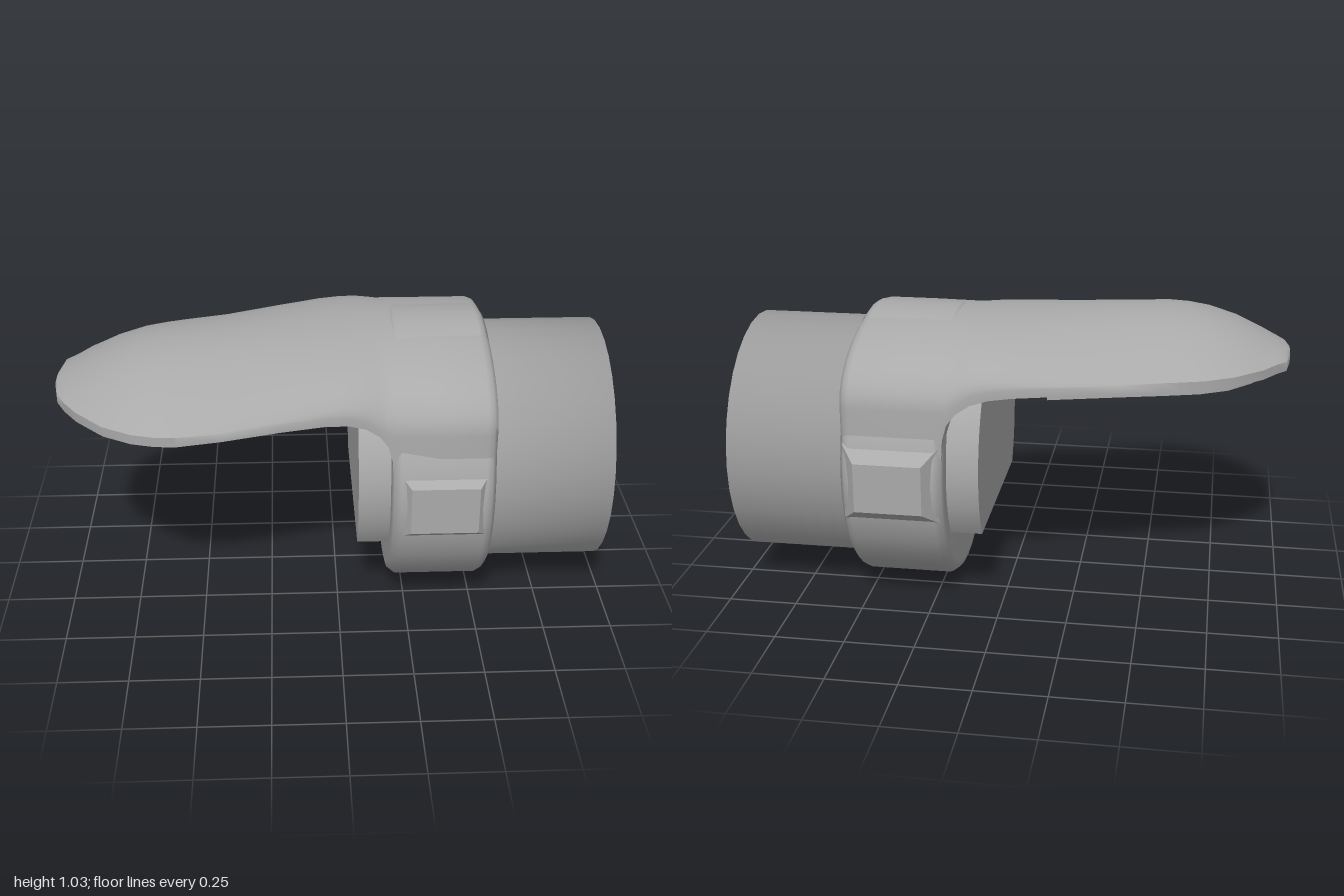
import * as THREE from 'three';
import { toCreasedNormals } from 'three/addons/utils/BufferGeometryUtils.js';

const CY = 0.515, CZ = -0.035; // axis of the round parts, running along x

// Lever stations: x, zMin, zMax, top, bottom
const STATIONS = [
  [-1, 0.06, 0.16, 0.875, 0.835],
  [-0.985, -0.04, 0.24, 0.885, 0.835],
  [-0.95, -0.08, 0.31, 0.9, 0.835],
  [-0.9, -0.155, 0.385, 0.925, 0.835],
  [-0.8, -0.25, 0.49, 0.97, 0.835],
  [-0.7, -0.308, 0.548, 1.0, 0.835],
  [-0.62, -0.333, 0.57, 1.013, 0.835],
  [-0.55, -0.352, 0.575, 1.018, 0.835],
  [-0.4, -0.39, 0.545, 1.02, 0.835],
  [-0.2, -0.447, 0.488, 1.02, 0.835],
  [-0.05, -0.483, 0.45, 1.02, 0.833],
  [0.03, -0.497, 0.435, 1.02, 0.825],
  [0.09, -0.506, 0.427, 1.02, 0.808],
  [0.14, -0.513, 0.425, 1.02, 0.775],
  [0.17, -0.517, 0.427, 1.02, 0.735],
  [0.185, -0.519, 0.43, 1.02, 0.68],
  [0.195, -0.521, 0.435, 1.02, 0.5],
  [0.35, -0.521, 0.446, 1.02, 0.5],
  [0.515, -0.521, 0.446, 1.02, 0.5],
  [0.535, -0.512, 0.437, 1.012, 0.5],
  [0.55, -0.492, 0.417, 0.99, 0.5],
];

// Arched cross-section with straight sides and a flat underside
function leverSection([x, z0, z1, top, bottom], n) {
  const t = THREE.MathUtils.smoothstep(x, -0.55, 0.2);
  const rim = Math.min(Math.max(0.87 - 0.09 * t, bottom + 0.03), top - 0.004);
  const power = 1 - 0.5 * t;
  const points = [];
  for (let i = 0; i <= n; i++) {
    const u = Math.cos((Math.PI * i) / n);
    const rise = Math.pow(Math.max(0, 1 - u * u), power);
    points.push([x, rim + (top - rim) * rise, (z0 + z1) / 2 + ((z1 - z0) / 2) * u]);
  }
  points.push([x, bottom, z0], [x, bottom, z1]);
  return points;
}

// Skin over closed cross-sections, with both ends filled
function loft(sections) {
  const m = sections[0].length, last = (sections.length - 1) * m;
  const index = [];
  for (let k = 0; k < sections.length - 1; k++) {
    for (let i = 0; i < m; i++) {
      const a = k * m + i, b = k * m + ((i + 1) % m);
      index.push(a, a + m, b, b, a + m, b + m);
    }
  }
  for (let i = 1; i < m - 1; i++) {
    index.push(0, i, i + 1, last, last + i + 1, last + i);
  }
  const g = new THREE.BufferGeometry();
  g.setAttribute('position', new THREE.Float32BufferAttribute(sections.flat(2), 3));
  g.setIndex(index);
  return toCreasedNormals(g, 0.9);
}

// Solid of revolution about the shared x axis; profile is [radius, x]
function turned(profile, sides) {
  const g = new THREE.LatheGeometry(profile.map(([r, x]) => new THREE.Vector2(r, x)), sides);
  return g.rotateZ(-Math.PI / 2).translate(0, CY, CZ);
}

export function createModel() {
  const group = new THREE.Group();
  const grey = new THREE.MeshStandardMaterial({ color: 0xaaaaaa });
  grey.name = 'grey';
  const add = (name, geometry) => {
    const mesh = new THREE.Mesh(geometry, grey);
    mesh.name = name;
    group.add(mesh);
  };

  // Lever flowing into the shoulder of the collar
  add('lever', loft(STATIONS.map((s) => leverSection(s, 28))));

  // Round collar with softened rims
  add('collar', turned([
    [0, 0.185], [0.47, 0.185], [0.495, 0.19], [0.515, 0.215],
    [0.515, 0.515], [0.505, 0.535], [0.485, 0.55], [0, 0.55],
  ], 40));

  // Bevelled lugs on both sides, one bar through the collar
  const lugShape = new THREE.Shape([
    new THREE.Vector2(0.25, 0.42), new THREE.Vector2(0.49, 0.42),
    new THREE.Vector2(0.49, 0.6), new THREE.Vector2(0.25, 0.6),
  ]);
  const lugs = new THREE.ExtrudeGeometry(lugShape, {
    depth: 0.955, bevelEnabled: true, bevelThickness: 0.06, bevelSize: 0.05, bevelSegments: 1,
  });
  add('sideLugs', lugs.translate(0, 0, -0.52));

  // Barrel and its raised end cap
  add('barrel', turned([[0, 0.5], [0.45, 0.5], [0.45, 0.98], [0, 0.98]], 32));
  add('endCap', turned([[0, 0.95], [0.307, 0.95], [0.307, 1], [0, 1]], 20));

  // Inner disc with a flat cut along the bottom
  const r = 0.43, cut = Math.asin(-0.235 / r);
  const discShape = new THREE.Shape();
  discShape.absarc(0, 0, r, cut, Math.PI - cut, false);
  discShape.closePath();
  const disc = new THREE.ExtrudeGeometry(discShape, { depth: 0.15, bevelEnabled: false, curveSegments: 24 });
  add('innerDisc', toCreasedNormals(disc.rotateY(Math.PI / 2).translate(0.07, CY, CZ), 0.6));

  // Thin pad under the lever, following its outline
  const padRows = [
    [-0.93, 0.04, 0.18], [-0.9, -0.03, 0.27], [-0.86, -0.1, 0.34], [-0.78, -0.19, 0.43],
    [-0.68, -0.245, 0.485], [-0.55, -0.282, 0.505], [-0.4, -0.32, 0.475], [-0.16, -0.385, 0.41],
  ];
  const outline = [
    ...padRows.map(([x, z]) => new THREE.Vector2(x, z)),
    ...padRows.map(([x, , z]) => new THREE.Vector2(x, z)).reverse(),
  ];
  const pad = new THREE.ExtrudeGeometry(new THREE.Shape(outline), { depth: 0.045, bevelEnabled: false });
  add('leverPad', toCreasedNormals(pad.rotateX(Math.PI / 2).translate(0, 0.845, 0), 0.7));

  return group;
}
